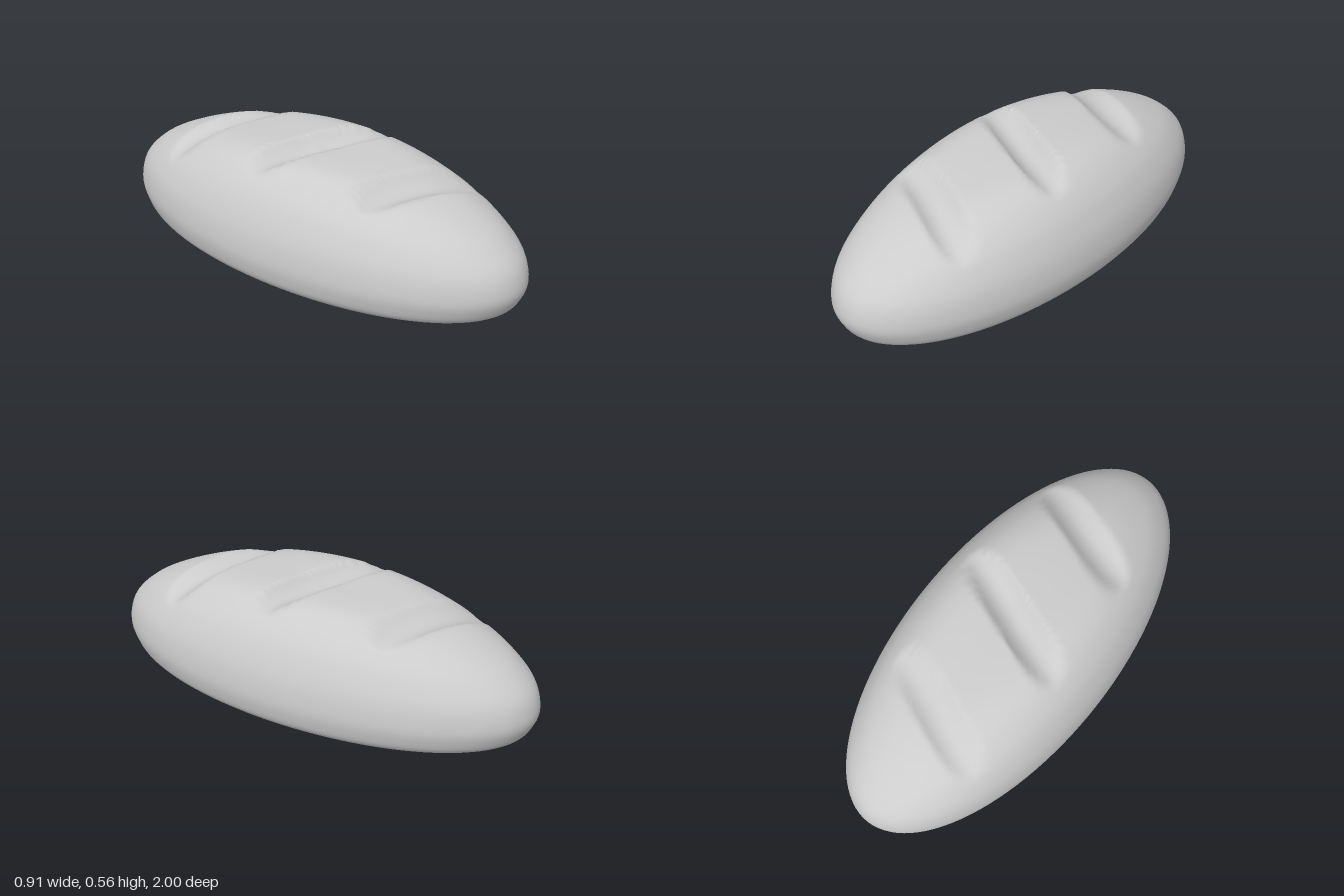
import * as THREE from 'three';
import { mergeVertices } from 'three/addons/utils/BufferGeometryUtils.js';

const HALF_WIDTH = 0.457;

// Loaf outline from the middle of the base to the middle of the crown: radius, height
const OUTLINE = [
  [0, 0.002], [0.35, 0.006], [0.62, 0.017], [0.81, 0.035], [0.94, 0.075],
  [0.985, 0.13], [1, 0.19], [0.975, 0.275], [0.91, 0.345], [0.82, 0.405],
  [0.66, 0.475], [0.48, 0.522], [0.25, 0.549], [0, 0.559],
];

// Three slanted slashes across the crust
const SLASHES = [
  { x: 0, z: -0.51, length: 0.31, depth: 0.042 },
  { x: 0, z: 0, length: 0.355, depth: 0.055 },
  { x: 0, z: 0.5, length: 0.31, depth: 0.05 },
];
const SLANT = 0.38;
const SLASH_HALF_WIDTH = 0.088;

function slashDepth(x, z) {
  let depth = 0;
  for (const s of SLASHES) {
    const dx = x - s.x, dz = z - s.z;
    const along = (dx * Math.cos(SLANT) + dz * Math.sin(SLANT)) / s.length;
    const across = (dz * Math.cos(SLANT) - dx * Math.sin(SLANT)) / SLASH_HALF_WIDTH;
    const d = along ** 4 + across ** 2;
    if (d < 1) depth = Math.max(depth, s.depth * (1 - d));
  }
  return depth;
}

function loafGeometry() {
  const curve = new THREE.SplineCurve(OUTLINE.map(([r, y]) => new THREE.Vector2(r, y)));
  const points = curve.getSpacedPoints(110);
  points.forEach((p) => { p.x = Math.max(0, p.x); });
  points[0].x = points[points.length - 1].x = 0;

  let geometry = new THREE.LatheGeometry(points, 112);
  geometry.deleteAttribute('uv');
  geometry.deleteAttribute('normal');
  const pos = geometry.attributes.position;
  for (let i = 0; i < pos.count; i++) {
    const ux = pos.getX(i), z = pos.getZ(i);
    let y = pos.getY(i);
    const r2 = Math.min(1, ux * ux + z * z);
    const x = ux * HALF_WIDTH;
    if (y > 0.2) {
      // Fuller shoulders along the flanks, then the slashes pressed in
      if (r2 > 0) y += 0.16 * ux * ux * (1 - r2);
      y -= slashDepth(x, z);
    }
    pos.setXYZ(i, x, y, z);
  }
  geometry = mergeVertices(geometry, 1e-5);
  geometry.computeVertexNormals();
  return geometry;
}

export function createModel() {
  const group = new THREE.Group();
  group.name = 'breadLoaf';
  const crust = new THREE.MeshStandardMaterial({ color: 0xcccccc });
  crust.name = 'crust grey';
  const loaf = new THREE.Mesh(loafGeometry(), crust);
  loaf.name = 'loaf';
  group.add(loaf);
  return group;
}
